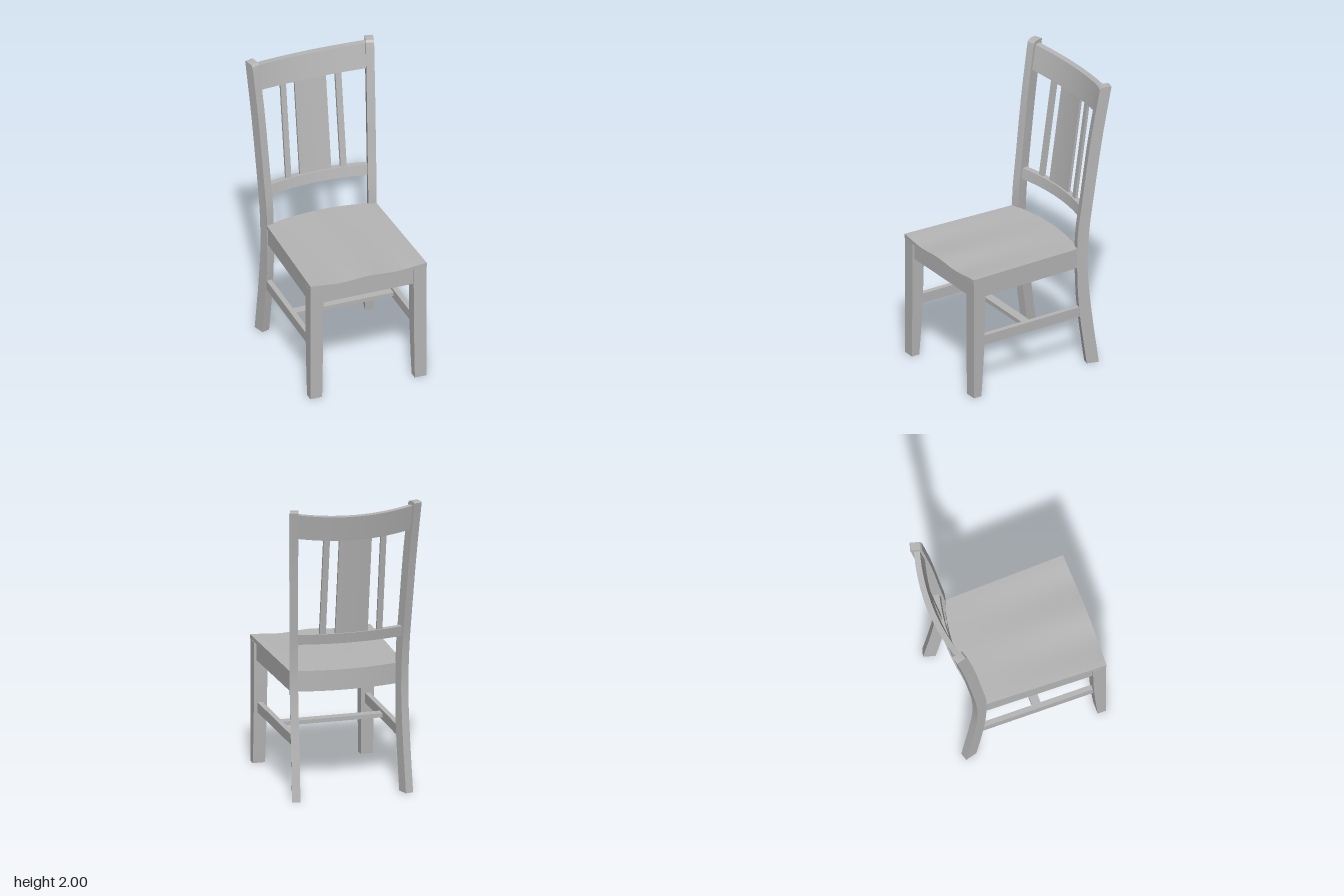
import * as THREE from 'three';
import { toCreasedNormals } from 'three/addons/utils/BufferGeometryUtils.js';

const lerp = THREE.MathUtils.lerp;

export function createModel() {
  const group = new THREE.Group();
  const paint = new THREE.MeshStandardMaterial({ color: 0xb6b6b6 });
  paint.name = 'plain grey';

  const add = (name, geometry) => {
    const mesh = new THREE.Mesh(geometry, paint);
    mesh.name = name;
    group.add(mesh);
  };

  // Unit box whose vertices are moved by rule(u, v, w); u and w in -0.5..0.5, v in 0..1
  const warpedBox = (name, segs, rule) => {
    const g = new THREE.BoxGeometry(1, 1, 1, ...segs);
    const p = g.attributes.position;
    for (let i = 0; i < p.count; i++) p.setXYZ(i, ...rule(p.getX(i), p.getY(i) + 0.5, p.getZ(i)));
    g.computeVertexNormals();
    add(name, g);
  };

  // Upright board of the back, leaning and bowed backwards in the middle
  const bowedBoard = (name, o) => warpedBox(name, [o.segs ?? 20, 1, 1], (u, v, w) => {
    const x = lerp(o.x0, o.x1, u + 0.5);
    const bow = (x / 0.37) ** 2;
    const y = lerp(o.y0, o.y1, v) + (o.rise ?? 0) * bow;
    return [x, y, lerp(o.z0, o.z1, v) + 0.05 * bow + w * o.t];
  });

  // Seat: tapers to the back, curved back edge, lightly saddled top
  warpedBox('seat', [32, 1, 20], (u, v, w) => {
    const d = w + 0.5;
    const round = 1 - (2 * u) ** 2;
    const z = lerp(-0.288 - 0.057 * round, 0.543 + 0.011 * round, d);
    const x = 2 * u * lerp(0.385, 0.408, d);
    const top = 0.851 + 0.003 * d + 0.006 * Math.cos(4 * Math.PI * u) * d;
    return [x, lerp(0.83, top, v), z];
  });

  // Front legs, tapered on their inner faces
  for (const s of [-1, 1]) {
    warpedBox('frontLeg', [1, 6, 1], (u, v, w) => {
      const taper = (1 - v) ** 2;
      const xc = 0.3625 + 0.004 * taper;
      const width = 0.091 - 0.008 * taper;
      return [s * xc + u * width, 0.832 * v, lerp(0.45 + 0.032 * taper, 0.54, w + 0.5)];
    });
  }

  // Back legs: curved profile, turned inwards, set out by the side direction
  const frontEdge = [[0.073, 0], [0.018, 0.4], [0, 0.7], [0.003, 0.95], [0.035, 1.2], [0.088, 1.6], [0.139, 1.9], [0.15, 1.96]];
  const backEdge = [[0.234, 1.995], [0.213, 1.88], [0.166, 1.6], [0.11, 1.2], [0.08, 0.95], [0.072, 0.7], [0.1, 0.4], [0.156, 0]];
  const smooth = (pts) => new THREE.SplineCurve(pts.map((p) => new THREE.Vector2(...p))).getPoints(28);
  const outline = new THREE.Shape([
    ...smooth(frontEdge),
    new THREE.Vector2(0.156, 1.985), new THREE.Vector2(0.168, 1.997), new THREE.Vector2(0.185, 2),
    new THREE.Vector2(0.225, 2),
    ...smooth(backEdge),
  ]);
  const thick = 0.055;
  const yaw = THREE.MathUtils.degToRad(15.6);
  for (const s of [-1, 1]) {
    let g = new THREE.ExtrudeGeometry(outline, { depth: thick, bevelEnabled: false });
    const along = new THREE.Vector3(s * Math.sin(yaw), 0, -Math.cos(yaw));
    const up = new THREE.Vector3(0, 1, 0);
    const side = new THREE.Vector3().crossVectors(along, up);
    const origin = new THREE.Vector3(s * 0.332, 0, -0.298);
    if (s < 0) origin.addScaledVector(side, -thick);
    g.applyMatrix4(new THREE.Matrix4().makeBasis(along, up, side).setPosition(origin));
    // Feet pulled in slightly
    const p = g.attributes.position;
    for (let i = 0; i < p.count; i++) {
      p.setX(i, p.getX(i) - s * 0.016 * Math.max(0, 1 - p.getY(i) / 0.8));
    }
    g = toCreasedNormals(g, 0.4);
    add('backLeg', g);
  }

  // Side aprons and side stretchers run from the front legs to the back legs
  const sideBar = (name, y0, y1, xFront, xBack, t) => {
    for (const s of [-1, 1]) {
      warpedBox(name, [1, 1, 1], (u, v, w) => [
        s * lerp(xBack, xFront, w + 0.5) + u * t, lerp(y0, y1, v), lerp(-0.32, 0.47, w + 0.5),
      ]);
    }
  };
  sideBar('sideApron', 0.71, 0.832, 0.373, 0.358, 0.04);
  sideBar('sideStretcher', 0.352, 0.42, 0.366, 0.362, 0.035);

  // Front and back aprons, cross stretcher
  warpedBox('frontApron', [1, 1, 1], (u, v, w) => [u * 0.66, lerp(0.71, 0.832, v), 0.505 + w * 0.04]);
  bowedBoard('backApron', { x0: -0.35, x1: 0.35, y0: 0.71, y1: 0.832, z0: -0.32, z1: -0.32, t: 0.04 });
  warpedBox('crossStretcher', [1, 1, 1], (u, v, w) => [u * 0.72, lerp(0.374, 0.402, v), 0.08 + w * 0.06]);

  // Back rest: two rails, wide centre splat, two narrow slats
  bowedBoard('topRail', { x0: -0.395, x1: 0.395, y0: 1.78, y1: 1.95, rise: 0.022, z0: -0.5, z1: -0.535, t: 0.04 });
  bowedBoard('lowerRail', { x0: -0.355, x1: 0.355, y0: 1.05, y1: 1.12, z0: -0.39, z1: -0.403, t: 0.04 });
  const upright = { y0: 1.11, y1: 1.8, z0: -0.403, z1: -0.503 };
  bowedBoard('centreSplat', { ...upright, x0: -0.11, x1: 0.11, t: 0.018, segs: 8 });
  for (const s of [-1, 1]) {
    bowedBoard('slat', { ...upright, x0: s * 0.193 - 0.02, x1: s * 0.193 + 0.02, t: 0.02, segs: 1 });
  }

  return group;
}
